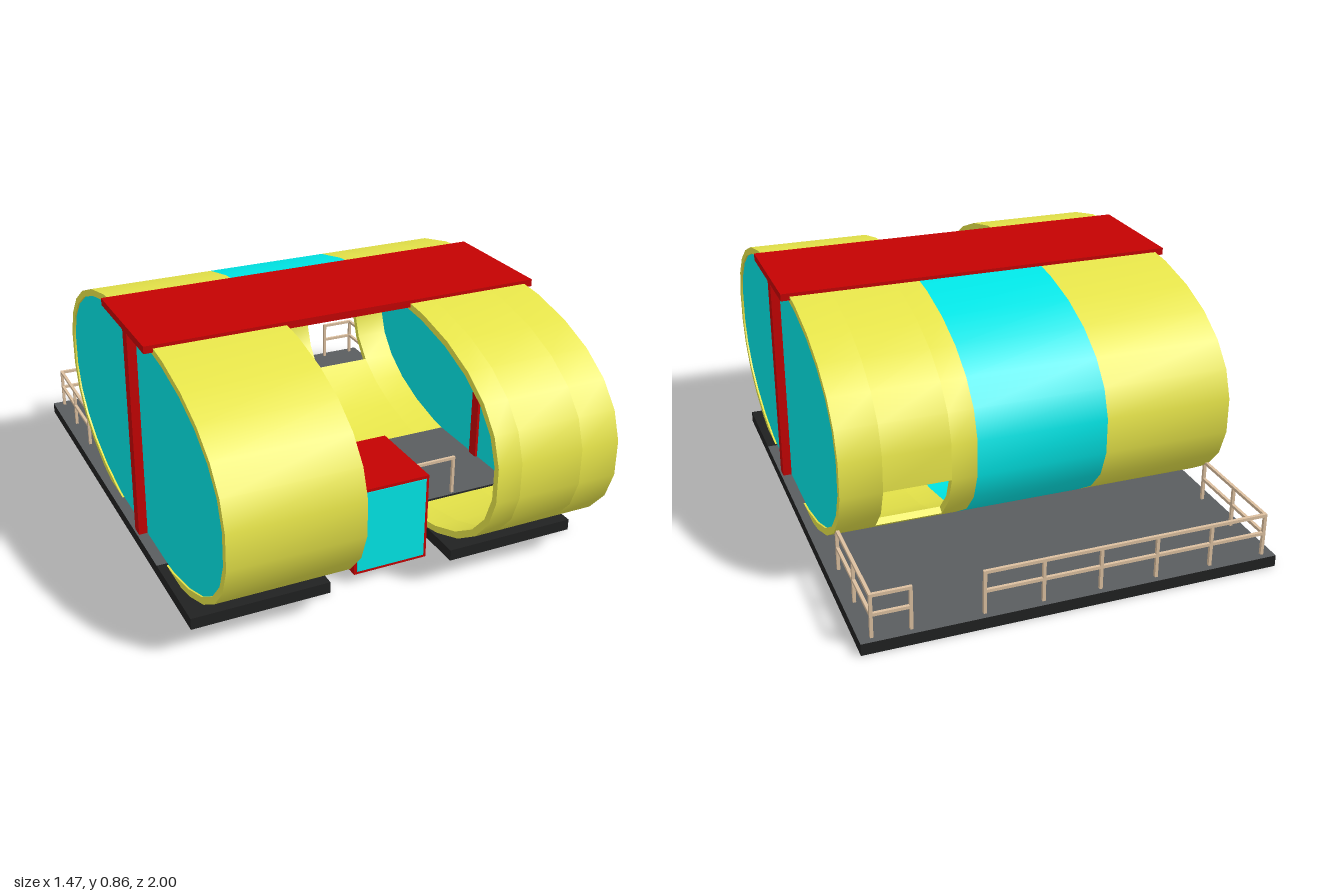
import * as THREE from 'three';
import { toCreasedNormals } from 'three/addons/utils/BufferGeometryUtils.js';

const mat = (name, color) => {
  const m = new THREE.MeshStandardMaterial({ color });
  m.name = name;
  return m;
};

export function createModel() {
  const yellow = mat('yellow shell', 0xe8e64a);
  const cyan = mat('cyan glass', 0x00e8e8);
  const red = mat('red panel', 0xc40202);
  const grey = mat('grey deck', 0x5a5d5f);
  const dark = mat('dark base', 0x202121);
  const beige = mat('beige rail', 0xdcc0a0);

  const model = new THREE.Group();
  const add = (name, geometry, material, parent = model) => {
    const mesh = new THREE.Mesh(geometry, material);
    mesh.name = name;
    parent.add(mesh);
    return mesh;
  };
  // box given by its limits on each axis
  const box = (name, [x0, x1], [y0, y1], [z0, z1], material, parent) => {
    const mesh = add(name, new THREE.BoxGeometry(x1 - x0, y1 - y0, z1 - z0), material, parent);
    mesh.position.set((x0 + x1) / 2, (y0 + y1) / 2, (z0 + z1) / 2);
    return mesh;
  };

  // full-bodied oval hull profile, angles measured from the front (+z) over the top
  const CZ = 0.1625, CY = 0.4325, A = 0.842, B = 0.43, T = 0.025;
  const SIDES = 28, STEP = (Math.PI * 2) / SIDES;
  const bulge = (v) => Math.sign(v) * Math.abs(v) ** (2 / 2.3);
  const arc = (inset, from, count) => {
    const pts = [];
    for (let i = 0; i <= count; i++) {
      const t = (((from + i) % SIDES) + 0.5) * STEP;
      pts.push(new THREE.Vector2(
        -(CZ + (A - inset) * bulge(Math.cos(t))),
        CY + (B - inset) * bulge(Math.sin(t)),
      ));
    }
    return pts;
  };
  const extrudeX = (shape, x0, x1) => {
    const g = new THREE.ExtrudeGeometry(shape, { depth: x1 - x0, bevelEnabled: false });
    g.rotateY(Math.PI / 2).translate(x0, 0, 0);
    return toCreasedNormals(g, 0.6);
  };
  const shell = (x0, x1, from, count) =>
    extrudeX(new THREE.Shape([...arc(0, from, count), ...arc(T, from, count).reverse()]), x0, x1);
  // closed ring with its seam at the bottom, inside the base
  const ring = (x0, x1) => shell(x0, x1, 20, SIDES);

  // side tubes, the left one with a doorway to the rear deck
  const IN = 0.235, OUT = 0.705;
  add('rightTube', ring(-OUT, -IN), yellow);
  const leftTube = new THREE.Group();
  leftTube.name = 'leftTube';
  model.add(leftTube);
  add('tubeInnerPart', ring(IN, 0.325), yellow, leftTube);
  add('tubeDoorPart', shell(0.325, 0.56, 16, 26), yellow, leftTube);
  add('tubeOuterPart', ring(0.56, OUT), yellow, leftTube);

  // glazed rear half joining the tubes
  add('middleGlassShell', shell(-IN, IN, 6, 15), cyan);

  // end glazing with posts, and the base prongs under the tubes
  for (const s of [-1, 1]) {
    const span = (a, b) => (s > 0 ? [a, b] : [-b, -a]);
    const [g0, g1] = span(0.69, 0.698);
    add('endGlass', extrudeX(new THREE.Shape(arc(T - 0.002, 0, SIDES - 1)), g0, g1), cyan);
    box('endPost', span(0.68, 0.73), [0.04, 0.84], [0.143, 0.188], red);
    box('baseProng', span(IN, 0.737), [0, 0.042], [0.405, 0.745], dark);
  }

  // roof slab, and the base with grey faces and dark edges
  box('roofSlab', [-0.737, 0.737], [0.836, 0.862], [-0.075, 0.395], red);
  box('base', [-0.737, 0.737], [0, 0.042], [-1, 0.405], [dark, dark, grey, grey, dark, dark]);
  box('innerPanel', [-0.232, -0.185], [0.04, 0.19], [0.3, 0.34], grey);

  // entrance box with a glazed, framed front
  const entrance = new THREE.Group();
  entrance.name = 'entrance';
  model.add(entrance);
  box('entranceBody', [-0.138, 0.142], [0.035, 0.36], [0.41, 0.73], red, entrance);
  box('entranceGlass', [-0.127, 0.131], [0.046, 0.349], [0.729, 0.733], cyan, entrance);

  // railings: horizontal bars with evenly spaced posts
  const railing = (x0, z0, x1, z1, posts, heights = [0.125, 0.195]) => {
    const g = new THREE.Group();
    g.name = 'railing';
    model.add(g);
    const r = 0.0055;
    for (const y of heights) {
      box('railBar', [Math.min(x0, x1) - r, Math.max(x0, x1) + r], [y - r, y + r],
        [Math.min(z0, z1) - r, Math.max(z0, z1) + r], beige, g);
    }
    for (let i = 0; i < posts; i++) {
      const k = i / (posts - 1), x = x0 + (x1 - x0) * k, z = z0 + (z1 - z0) * k;
      box('railPost', [x - r, x + r], [0.04, 0.195], [z - r, z + r], beige, g);
    }
  };
  railing(-0.695, -0.973, 0.32, -0.973, 6);
  railing(0.565, -0.973, 0.695, -0.973, 2);
  for (const s of [-1, 1]) {
    railing(s * 0.695, -0.973, s * 0.695, -0.567, 3);
    railing(s * 0.177, 0.39, s * 0.45, 0.39, 2, [0.19]);
  }
  return model;
}
